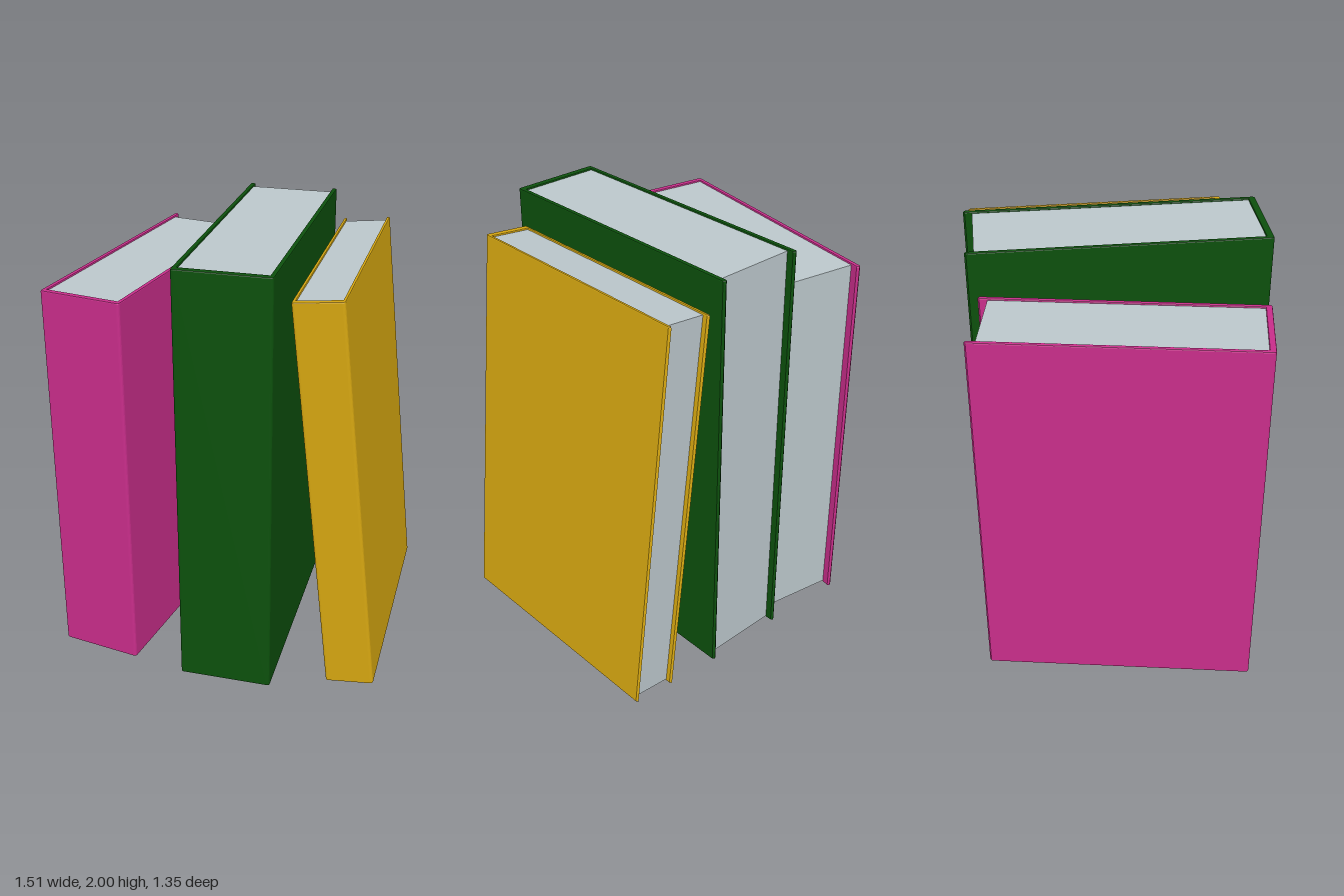
import * as THREE from 'three';

const material = (name, color) => new THREE.MeshStandardMaterial({ name, color });

// U-shaped hard cover: two boards joined by a spine on the +z side
function coverGeometry(w, h, d, board, spine) {
  const bevel = 0.005;
  const x = w / 2 - bevel, z = d / 2 - bevel;
  const xi = w / 2 - board + bevel, zi = d / 2 - spine + bevel;
  const r = 0.008, e = 0.004;
  const s = new THREE.Shape();
  // outline in plan, with shape y = -z
  s.moveTo(-x, z - e);
  s.lineTo(-x, -z + r);
  s.quadraticCurveTo(-x, -z, -x + r, -z);
  s.lineTo(x - r, -z);
  s.quadraticCurveTo(x, -z, x, -z + r);
  s.lineTo(x, z - e);
  s.lineTo((x + xi) / 2, z);
  s.lineTo(xi, z - e);
  s.lineTo(xi, -zi);
  s.lineTo(-xi, -zi);
  s.lineTo(-xi, z - e);
  s.lineTo(-(x + xi) / 2, z);
  s.closePath();
  const geo = new THREE.ExtrudeGeometry(s, {
    depth: h - 2 * bevel, bevelEnabled: true, bevelThickness: bevel,
    bevelSize: bevel, bevelSegments: 2, curveSegments: 4,
  });
  geo.translate(0, 0, bevel - h / 2);
  geo.rotateX(-Math.PI / 2);
  return geo;
}

function makeBook({ name, w, h, d, board, spine, gap, cover, paper }) {
  const book = new THREE.Group();
  book.name = name;

  const shell = new THREE.Mesh(coverGeometry(w, h, d, board, spine), cover);
  shell.name = name + 'Cover';

  // page block, set back from the open edges
  const depth = d - spine - gap;
  const pages = new THREE.Mesh(
    new THREE.BoxGeometry(w - 2 * board, h - 0.016, depth), paper);
  pages.position.z = (gap - spine) / 2;
  pages.name = name + 'Pages';

  book.add(shell, pages);
  return book;
}

export function createModel() {
  const model = new THREE.Group();
  model.name = 'books';
  const paper = material('paper', 0xbcc8cc);

  // left book, turned on the shelf
  const pink = makeBook({
    name: 'turnedBook', w: 0.385, h: 1.805, d: 1.25, board: 0.02, spine: 0.028,
    gap: 0.042, cover: material('magenta', 0xc82d8a), paper,
  });
  pink.position.set(-0.46, 0.9075, -0.03);
  pink.rotation.y = THREE.MathUtils.degToRad(-10);

  // tall upright book in the middle
  const green = makeBook({
    name: 'tallBook', w: 0.427, h: 1.995, d: 1.328, board: 0.021, spine: 0.032,
    gap: 0.038, cover: material('darkGreen', 0x0c500c), paper,
  });
  green.position.set(0.077, 1.0025, 0.007);

  // right book, leaning against the others
  const yellow = makeBook({
    name: 'leaningBook', w: 0.223, h: 1.868, d: 1.2, board: 0.014, spine: 0.03,
    gap: 0.03, cover: material('mustard', 0xd4a510), paper,
  });
  yellow.position.set(0.547, 0.946, -0.035);
  yellow.rotation.z = THREE.MathUtils.degToRad(6.1);

  model.add(pink, green, yellow);
  return model;
}
